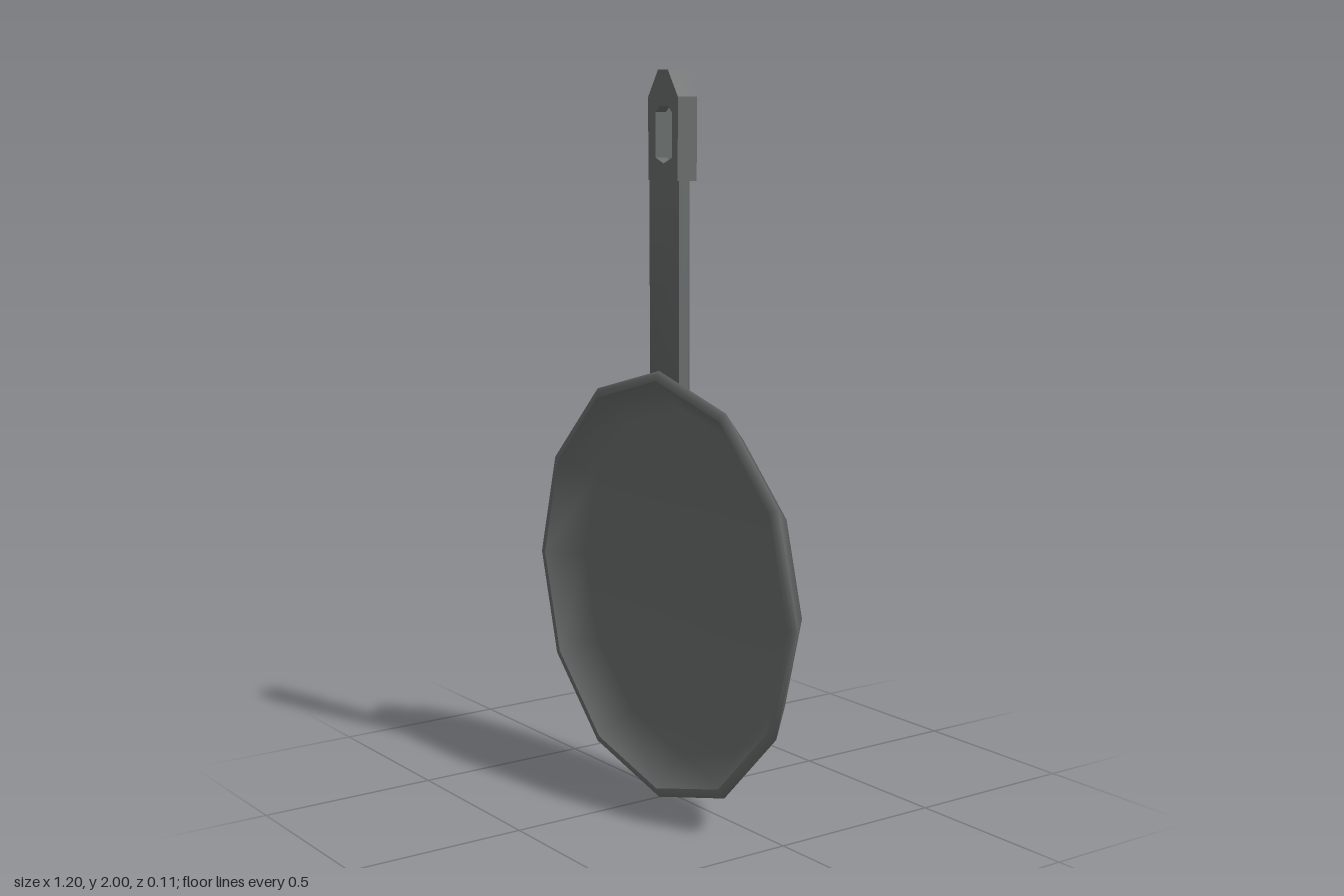
import * as THREE from 'three';
import { toCreasedNormals } from 'three/addons/utils/BufferGeometryUtils.js';

const iron = new THREE.MeshStandardMaterial({ color: 0x686c6b });
iron.name = 'dark iron';

const points = (list) => list.map(([x, y]) => new THREE.Vector2(x, y));

function add(group, geometry, name) {
  const mesh = new THREE.Mesh(geometry, iron);
  mesh.name = name;
  group.add(mesh);
  return mesh;
}

// Twelve-sided ring surface turned to face the front
function turned(profile) {
  const geometry = new THREE.LatheGeometry(points(profile), 12);
  geometry.rotateX(Math.PI / 2);
  geometry.translate(0, 0.6, 0);
  return geometry;
}

// Flat plate with one hole, between two depths
function plate(outline, hole, back, front) {
  const shape = new THREE.Shape(points(outline));
  shape.holes.push(new THREE.Path(points(hole)));
  const geometry = new THREE.ExtrudeGeometry(shape, { depth: front - back, bevelEnabled: false });
  geometry.translate(0, 0, back);
  return geometry;
}

// Handle grip: flat front, rounded back, foot cut to the slope of the pan wall
function gripGeometry() {
  const section = [[-0.06, 0.03], [-0.06, 0], [-0.03, -0.027], [0.045, -0.027], [0.075, 0], [0.075, 0.03]];
  const n = section.length;
  const position = [];
  for (const [x, z] of section) position.push(x, 1.13 + z, z);
  for (const [x, z] of section) position.push(x, 1.71, z);
  const index = [];
  for (let i = 0; i < n; i++) {
    const j = (i + 1) % n;
    index.push(i, i + n, j, j, i + n, j + n);
  }
  for (let i = 1; i < n - 1; i++) {
    index.push(0, i, i + 1);
    index.push(n, n + i + 1, n + i);
  }
  // Corners run clockwise seen from the front, so turn every face outward
  for (let i = 0; i < index.length; i += 3) {
    const [a, b, c] = [0, 1, 2].map((k) => new THREE.Vector3().fromArray(position, index[i + k] * 3));
    const middle = a.clone().add(b).add(c).divideScalar(3).sub(new THREE.Vector3(0.0075, 1.42, 0.005));
    const normal = b.sub(a).cross(c.sub(a));
    if (normal.dot(middle) < 0) [index[i + 1], index[i + 2]] = [index[i + 2], index[i + 1]];
  }
  const geometry = new THREE.BufferGeometry();
  geometry.setAttribute('position', new THREE.Float32BufferAttribute(position, 3));
  geometry.setIndex(index);
  return toCreasedNormals(geometry, 0.95);
}

export function createModel() {
  const model = new THREE.Group();
  model.name = 'fryingPan';

  // Pan
  const pan = new THREE.Group();
  pan.name = 'pan';
  add(pan, turned([[0, -0.055], [0.5, -0.055], [0.6, 0.042]]), 'panOutside');
  add(pan, turned([[0.6, 0.042], [0.59, 0.053], [0.573, 0.053]]), 'panRim');
  add(pan, turned([[0.573, 0.053], [0.49, -0.035], [0, -0.035]]), 'panInside');
  model.add(pan);

  // Handle with a hanging hole, wider at the back
  const handle = new THREE.Group();
  handle.name = 'handle';
  add(handle, gripGeometry(), 'handleGrip');
  const outline = [[-0.06, 1.71], [0.075, 1.71], [0.075, 1.93], [0.03, 2], [-0.015, 2], [-0.06, 1.93]];
  const hole = [[-0.026, 1.77], [-0.026, 1.89], [-0.008, 1.905], [0.03, 1.905],
    [0.048, 1.89], [0.048, 1.77], [0.01, 1.755]];
  const pocket = [[-0.032, 1.75], [-0.032, 1.91], [0.008, 1.945], [0.052, 1.91], [0.052, 1.75]];
  add(handle, plate(outline, hole, 0, 0.034), 'handleEndFront');
  add(handle, plate(outline, pocket, -0.028, 0), 'handleEndBack');
  model.add(handle);

  return model;
}
